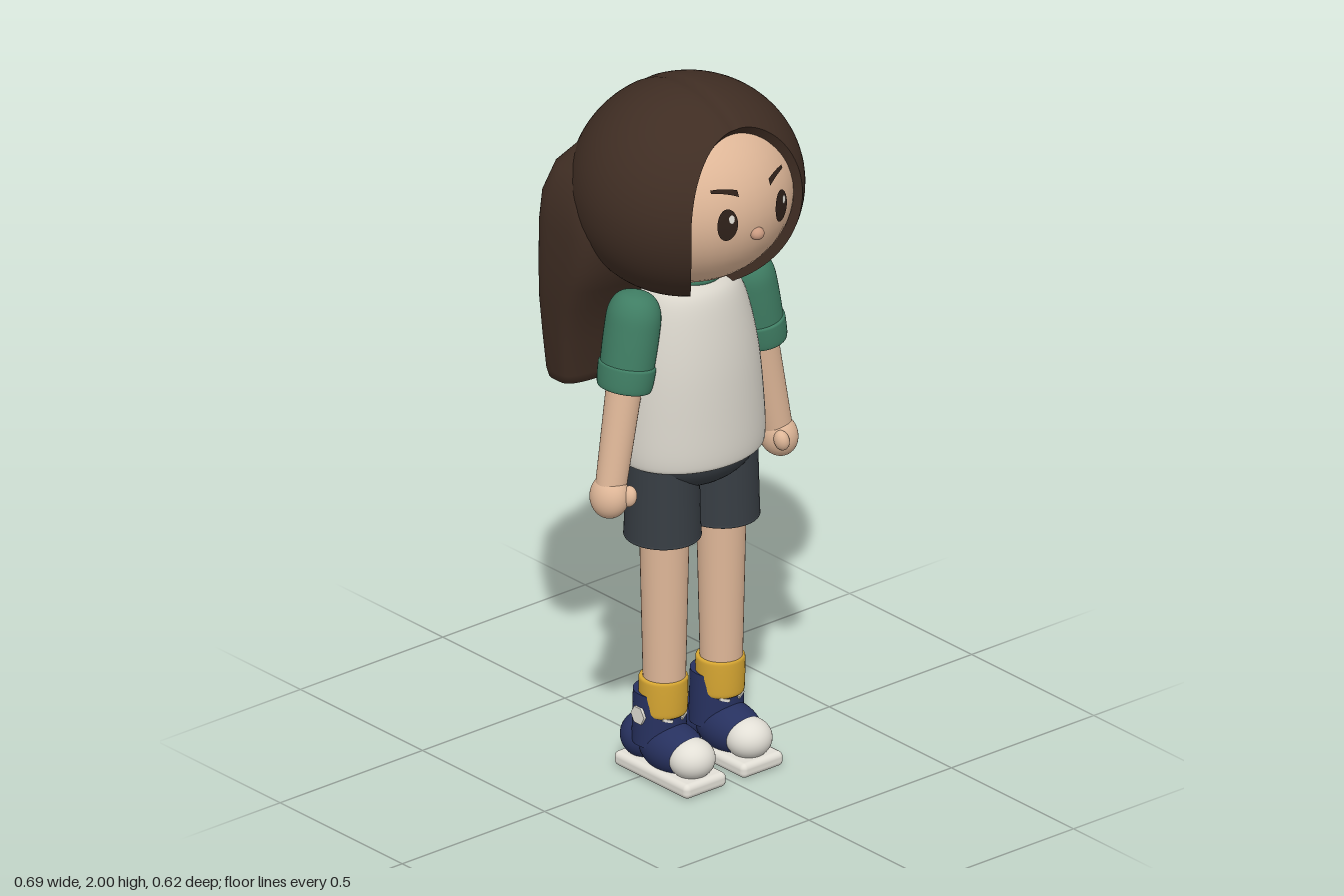
import * as THREE from 'three';
import { RoundedBoxGeometry } from 'three/addons/geometries/RoundedBoxGeometry.js';

const paint = (name, color, side = THREE.FrontSide) => {
  const m = new THREE.MeshStandardMaterial({ color, side });
  m.name = name;
  return m;
};

// Smooth revolved shape through a few [radius, y] points, listed bottom to top
function turned(points, segments = 40) {
  const curve = new THREE.SplineCurve(points.map(([r, y]) => new THREE.Vector2(r, y)));
  const profile = curve.getPoints(points.length * 5);
  profile.forEach((p) => { p.x = Math.max(p.x, 0); });
  return new THREE.LatheGeometry(profile, segments);
}

// Surface through closed rings that all have the same number of points
function loft(rings) {
  const n = rings[0].length;
  const index = [];
  for (let i = 0; i < rings.length - 1; i++) {
    for (let j = 0; j < n; j++) {
      const a = i * n + j, b = i * n + (j + 1) % n;
      index.push(a, b, a + n, b, b + n, a + n);
    }
  }
  const g = new THREE.BufferGeometry();
  g.setAttribute('position', new THREE.Float32BufferAttribute(rings.flat(2), 3));
  g.setIndex(index);
  g.computeVertexNormals();
  return g;
}

const HEAD_Y = 1.7;
const FACE = [0.29, 0.26, 0.29];
const HAIR = [0.32, 0.3, 0.31];

// Lays a flat shape onto the front of the face
function onFace(geometry, x, y, lift) {
  const p = geometry.attributes.position;
  for (let i = 0; i < p.count; i++) {
    const px = p.getX(i) + x, py = p.getY(i) + y;
    const k = 1 - (px / FACE[0]) ** 2 - ((py - HEAD_Y) / FACE[1]) ** 2;
    p.setXYZ(i, px, py, FACE[2] * Math.sqrt(k) + lift);
  }
  geometry.computeVertexNormals();
  return geometry;
}

// Hair cap: ellipsoid rings running from the face opening to the back of the head
function hairRings() {
  const n = 96, rows = 32, rings = [], rim = [[], []];
  for (let i = 0; i <= rows; i++) {
    const ring = [];
    for (let j = 0; j < n; j++) {
      const t = (j / n) * Math.PI * 2;
      const ux = 0.195 * Math.cos(t) / HAIR[0];
      const uy = (Math.sin(t) > 0 ? 0.23 : 0.297) * Math.sin(t) / HAIR[1];
      const phi = Math.atan2(uy, ux);
      const start = Math.asin(Math.hypot(ux, uy));
      const theta = start + (Math.PI - start) * (i / rows);
      const x = Math.sin(theta) * Math.cos(phi), y = Math.sin(theta) * Math.sin(phi), z = Math.cos(theta);
      // shallow centre parting on the crown
      const k = 1 - (y > 0 ? 0.018 * y * Math.exp(-((x / 0.04) ** 2)) : 0);
      const at = (s) => [x * HAIR[0] * s, HEAD_Y + y * HAIR[1] * s, z * HAIR[2] * s];
      ring.push(at(k));
      if (i === 0) { rim[0].push(at(0.86)); rim[1].push(at(k)); }
    }
    rings.push(ring);
  }
  return { rings, rim };
}

// Long back hair: rounded rectangles [y, half width, front z, back z]
function longHairRings() {
  const sections = [
    [1.86, 0.17, -0.1, -0.19], [1.76, 0.275, -0.06, -0.272], [1.68, 0.308, -0.03, -0.298],
    [1.6, 0.318, -0.01, -0.304], [1.5, 0.317, -0.03, -0.304], [1.43, 0.312, -0.065, -0.303],
    [1.36, 0.304, -0.105, -0.302], [1.25, 0.286, -0.142, -0.302], [1.14, 0.268, -0.163, -0.302],
    [1.115, 0.26, -0.17, -0.297], [1.108, 0.24, -0.185, -0.285], [1.108, 0, -0.235, -0.235],
  ];
  const n = 80;
  return sections.map(([y, w, zf, zb]) => Array.from({ length: n }, (_, j) => {
    const t = (j / n) * Math.PI * 2;
    const c = Math.cos(t), s = Math.sin(t);
    const x = w * Math.sign(c) * Math.sqrt(Math.abs(c));
    let z = (zf + zb) / 2 + (zf - zb) / 2 * Math.sign(s) * Math.sqrt(Math.abs(s));
    if (s < 0 && w > 0) z += 0.006 * -s * (1 - Math.cos((x / w) * Math.PI * 4)); // soft locks
    return [x, y, z];
  }));
}

export function createModel() {
  const model = new THREE.Group();
  model.name = 'standingGirl';
  const skin = paint('skin', 0xdfb798), noseTone = paint('nose', 0xc99a80);
  const hair = paint('hair', 0x3f2d23, THREE.DoubleSide), dark = paint('eyes', 0x2f211a, THREE.DoubleSide);
  const ivory = paint('ivory', 0xd9d5cb), green = paint('green', 0x3f7d63);
  const charcoal = paint('charcoal', 0x373d43), navy = paint('navy', 0x27315f);
  const yellow = paint('yellow', 0xd6a632), white = paint('white', 0xe2dfd6, THREE.DoubleSide);

  const add = (parent, name, geometry, material, pos = [0, 0, 0], scale = [1, 1, 1]) => {
    const mesh = new THREE.Mesh(geometry, material);
    mesh.name = name;
    mesh.position.set(...pos);
    mesh.scale.set(...scale);
    parent.add(mesh);
    return mesh;
  };
  const group = (name, parent, pos) => {
    const g = new THREE.Group();
    g.name = name;
    g.position.set(...pos);
    parent.add(g);
    return g;
  };
  const ball = new THREE.SphereGeometry(1, 40, 28);

  // Head and face
  const head = group('head', model, [0, 0, 0]);
  add(head, 'face', ball, skin, [0, HEAD_Y, 0], FACE);
  add(head, 'nose', ball, noseTone, [0, 1.655, 0.288], [0.02, 0.018, 0.018]);
  for (const s of [-1, 1]) {
    const eye = new THREE.CircleGeometry(1, 32).scale(0.028, 0.046, 1);
    add(head, 'eye', onFace(eye, s * 0.094, 1.703, 0.004), dark);
    const glint = new THREE.CircleGeometry(1, 16).scale(0.008, 0.012, 1);
    add(head, 'eyeGlint', onFace(glint, s * 0.094 + 0.009, 1.72, 0.007), white);
    const brow = new THREE.PlaneGeometry(0.07, 0.013, 10, 1);
    const p = brow.attributes.position;
    for (let i = 0; i < p.count; i++) {
      const u = p.getX(i) * s / 0.035; // -1 at the inner end
      p.setY(i, p.getY(i) * (1 - 0.35 * u) + 0.007 * u - 0.004 * u * u);
    }
    add(head, 'eyebrow', onFace(brow, s * 0.09, 1.795, 0.005), dark);
  }

  // Hair
  const { rings, rim } = hairRings();
  add(head, 'hairCap', loft(rings), hair);
  add(head, 'hairEdge', loft(rim), hair);
  add(head, 'longHair', loft(longHairRings()), hair);

  // Neck and shirt
  add(model, 'neck', new THREE.CylinderGeometry(0.065, 0.07, 0.12, 32), skin, [0, 1.44, 0.01]);
  add(model, 'collar', new THREE.TorusGeometry(0.074, 0.012, 12, 40).rotateX(Math.PI / 2), green, [0, 1.448, 0.015]);
  add(model, 'shirt', turned([[0, 0.928], [0.15, 0.927], [0.203, 0.93], [0.217, 0.955], [0.214, 1.05],
    [0.2, 1.2], [0.176, 1.32], [0.147, 1.405], [0.11, 1.438], [0.06, 1.448], [0, 1.449]], 56),
  ivory, [0, 0, 0.018], [1, 1, 0.775]);

  // Shorts seat
  add(model, 'shortsSeat', ball, charcoal, [0, 0.95, 0.018], [0.195, 0.115, 0.152]);

  for (const s of [-1, 1]) {
    const side = s > 0 ? 'left' : 'right';

    // Arm, hanging slightly outwards from the shoulder
    const arm = group(side + 'Arm', model, [s * 0.2, 1.38, 0.016]);
    arm.rotation.set(-0.025, 0, s * 0.19);
    add(arm, 'sleeve', turned([[0, -0.2], [0.066, -0.2], [0.07, -0.15], [0.072, -0.05], [0.068, 0.015],
      [0.045, 0.055], [0, 0.07]]), green, [0, 0, 0], [1, 1, 1.1]);
    add(arm, 'cuff', turned([[0.045, -0.207], [0.064, -0.207], [0.071, -0.195], [0.074, -0.15],
      [0.071, -0.136], [0.05, -0.132]]), green, [0, 0, 0], [1, 1, 1.13]);
    add(arm, 'forearm', new THREE.CylinderGeometry(0.05, 0.042, 0.33, 32), skin, [0, -0.325, 0]);
    add(arm, 'hand', ball, skin, [0, -0.51, 0], [0.05, 0.062, 0.058]);
    add(arm, 'thumb', ball, skin, [-s * 0.027, -0.5, 0.047], [0.02, 0.029, 0.023]);

    // Leg
    const leg = group(side + 'Leg', model, [s * 0.1, 0, 0.02]);
    add(leg, 'shortsLeg', new THREE.CylinderGeometry(0.097, 0.103, 0.23, 40), charcoal, [s * 0.003, 0.822, 0], [1, 1, 1.03]);
    add(leg, 'shortsHem', new THREE.TorusGeometry(0.099, 0.005, 8, 40).rotateX(Math.PI / 2), charcoal, [s * 0.003, 0.708, 0], [1, 1, 1.03]);
    add(leg, 'shin', new THREE.CylinderGeometry(0.068, 0.057, 0.5, 36), skin, [0, 0.5, 0.004]);
    add(leg, 'sock', turned([[0.05, 0.18], [0.063, 0.185], [0.066, 0.21], [0.067, 0.27], [0.065, 0.288], [0.055, 0.29]]), yellow);

    // Shoe
    const shoe = group(side + 'Shoe', model, [s * 0.1, 0, 0]);
    add(shoe, 'sole', new RoundedBoxGeometry(0.146, 0.042, 0.304, 4, 0.016), white, [0, 0.021, 0.048]);
    const collar = new THREE.CylinderGeometry(0.071, 0.075, 0.15, 40, 6);
    const p = collar.attributes.position;
    for (let i = 0; i < p.count; i++) {
      const front = Math.max(0, p.getZ(i) / 0.071);
      if (p.getY(i) > 0) p.setY(i, p.getY(i) * (1 - 0.4 * front ** 4)); // dip at the tongue
    }
    collar.computeVertexNormals();
    add(shoe, 'ankle', collar, navy, [0, 0.17, 0.004]);
    add(shoe, 'heel', ball, navy, [0, 0.09, -0.05], [0.071, 0.066, 0.07]);
    add(shoe, 'vamp', ball, navy, [0, 0.088, 0.055], [0.073, 0.072, 0.11]);
    add(shoe, 'toeCap', ball, white, [0, 0.083, 0.136], [0.064, 0.056, 0.064]);
    // Round side badge
    const badge = add(shoe, 'sideBadge', new THREE.CylinderGeometry(0.027, 0.027, 0.008, 6), white, [s * 0.074, 0.185, 0.004]);
    badge.rotation.z = Math.PI / 2;
    // Short lace ends
    for (const k of [-1, 1]) {
      const lace = add(shoe, 'lace', new THREE.BoxGeometry(0.03, 0.008, 0.008), white, [k * 0.028, 0.178, 0.07]);
      lace.rotation.set(0, k * 0.4, k * 0.3);
    }
  }
  return model;
}
